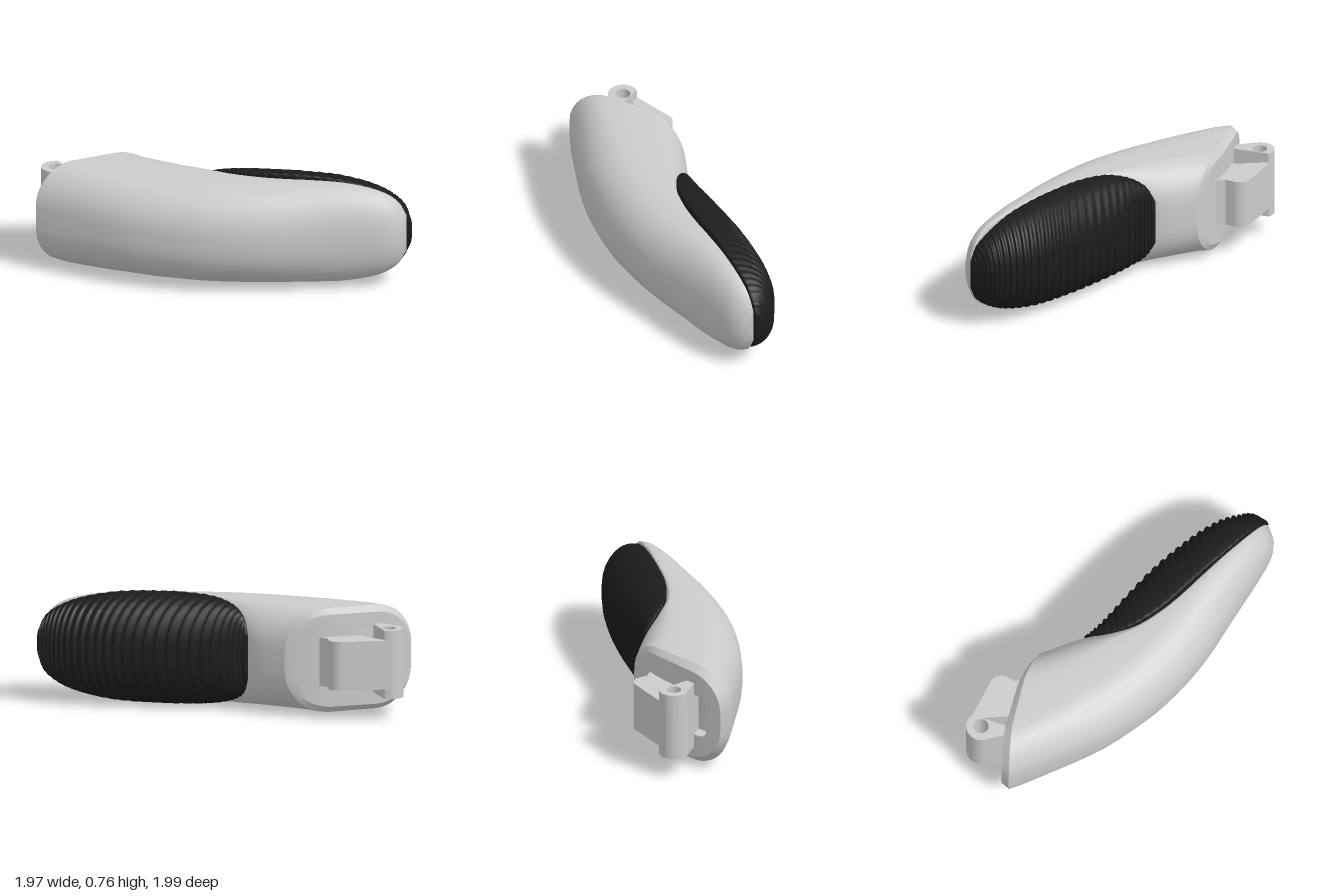
import * as THREE from 'three';
import { toCreasedNormals } from 'three/addons/utils/BufferGeometryUtils.js';

const MID = 0.385; // height of the symmetry plane

// Rounded cross-section standing on the plan line a -> b, half height h.
// fa, fb: corner size as a share of the width at each end; ra, rb: same for the height.
function section(a, b, h, fa, fb, ra, rb) {
  const d = b.clone().sub(a), pts = [], n = 8;
  const corners = [[1, 1, fb, rb], [-1, 1, fa, ra], [-1, -1, fa, ra], [1, -1, fb, rb]];
  corners.forEach(([sx, sy, f, r], q) => {
    for (let i = 0; i <= n; i++) {
      const t = (q + i / n) * Math.PI / 2;
      const u = (sx > 0 ? 1 - f : f) + f * Math.cos(t);
      const y = sy * h * (1 - r) + h * r * Math.sin(t);
      pts.push(new THREE.Vector3(a.x + d.x * u, MID + y, a.y + d.y * u));
    }
  });
  return pts;
}

// Skin over a list of rings; capStart / capEnd close the ends
function loft(rings, capStart, capEnd, crease) {
  const m = rings[0].length, pos = [], idx = [];
  rings.forEach(r => r.forEach(p => pos.push(p.x, p.y, p.z)));
  for (let i = 0; i < rings.length - 1; i++)
    for (let j = 0; j < m; j++) {
      const k = (j + 1) % m, a = i * m + j, b = i * m + k;
      idx.push(a, b, a + m, b, b + m, a + m);
    }
  const cap = (i, flip) => {
    const c = new THREE.Vector3();
    rings[i].forEach(p => c.addScaledVector(p, 1 / m));
    const id = pos.length / 3;
    pos.push(c.x, c.y, c.z);
    for (let j = 0; j < m; j++) {
      const a = i * m + j, b = i * m + (j + 1) % m;
      idx.push(id, flip ? b : a, flip ? a : b);
    }
  };
  if (capStart) cap(0, true);
  if (capEnd) cap(rings.length - 1, false);
  const g = new THREE.BufferGeometry();
  g.setAttribute('position', new THREE.Float32BufferAttribute(pos, 3));
  g.setIndex(idx);
  return toCreasedNormals(g, crease);
}

// Smooth interpolation through stations [ax, az, bx, bz, h, fa, fb]
function stations(list) {
  const curve = f => new THREE.CatmullRomCurve3(list.map(f), false, 'catmullrom', 0.5);
  const A = curve(s => new THREE.Vector3(s[0], s[4], s[1]));
  const B = curve(s => new THREE.Vector3(s[2], 0, s[3]));
  const F = curve(s => new THREE.Vector3(s[5], s[6], 0));
  return t => {
    const a = A.getPoint(t), b = B.getPoint(t), f = F.getPoint(t);
    return { a: new THREE.Vector2(a.x, a.z), b: new THREE.Vector2(b.x, b.z), h: a.y, fa: f.x, fb: f.y };
  };
}

// Bowed back end: edge of the rim and face of the plate
const share = x => THREE.MathUtils.clamp((x + 0.99) / 0.89, 0, 1);
const rimZ = x => -0.70 + 0.19 * share(x) ** 2.5;
const plateZ = x => -0.75 + 0.235 * share(x) ** 2.5;
const bend = (ring, f) => ring.map(p => new THREE.Vector3(p.x, p.y, f(p.x)));

const bodyAt = stations([
  [-0.99, -0.69, -0.10, -0.51, 0.355, 0.31, 0.31],
  [-0.85, -0.40, -0.02, -0.33, 0.355, 0.36, 0.30],
  [-0.74, -0.18, 0.01, -0.20, 0.355, 0.44, 0.25],
  [-0.63, 0.00, 0.01, -0.08, 0.355, 0.52, 0.15],
  [-0.42, 0.26, 0.05, 0.10, 0.355, 0.64, 0.06],
  [-0.20, 0.46, 0.16, 0.26, 0.355, 0.74, 0.05],
  [0.00, 0.60, 0.28, 0.39, 0.355, 0.80, 0.05],
  [0.20, 0.71, 0.43, 0.53, 0.355, 0.84, 0.05],
  [0.40, 0.82, 0.59, 0.68, 0.345, 0.86, 0.05],
  [0.60, 0.93, 0.75, 0.83, 0.30, 0.88, 0.05],
  [0.72, 0.985, 0.84, 0.91, 0.23, 0.88, 0.05],
  [0.80, 0.995, 0.885, 0.95, 0.13, 0.88, 0.05],
]);

const padAt = stations([
  [0.015, -0.24, 0.04, -0.24, 0.15, 0.04, 0.85],
  [0.00, -0.17, 0.09, -0.18, 0.26, 0.04, 0.88],
  [0.00, -0.05, 0.20, -0.09, 0.325, 0.04, 0.90],
  [0.05, 0.10, 0.37, 0.04, 0.365, 0.04, 0.92],
  [0.17, 0.27, 0.55, 0.19, 0.38, 0.04, 0.92],
  [0.32, 0.42, 0.70, 0.34, 0.38, 0.04, 0.92],
  [0.48, 0.57, 0.82, 0.48, 0.37, 0.04, 0.92],
  [0.64, 0.72, 0.915, 0.62, 0.335, 0.04, 0.92],
  [0.77, 0.83, 0.96, 0.74, 0.28, 0.04, 0.90],
  [0.86, 0.92, 0.98, 0.83, 0.20, 0.04, 0.88],
  [0.90, 0.955, 0.945, 0.93, 0.10, 0.04, 0.85],
]);

function bodyGeometry() {
  const rings = [], n = 50;
  for (let i = 0; i <= n; i++) {
    const s = bodyAt(i / n);
    const ring = section(s.a, s.b, s.h, s.fa, s.fb, 0.79 + 0.12 * Math.min(1, 2 * i / n), 0.79 * Math.min(1, s.fb / 0.31));
    rings.push(i === 0 ? bend(ring, rimZ) : ring);
  }
  return loft(rings, false, true, 0.8);
}

// Chamfered back plate with a pocket, from the pocket floor out to the rim
function plateGeometry() {
  const V = (x, z) => new THREE.Vector2(x, z);
  const pocket = section(V(-0.84, 0), V(-0.56, 0), 0.145, 0.2, 0.2, 0.35, 0.35);
  const face = section(V(-0.955, 0), V(-0.115, 0), 0.315, 0.31, 0.31, 0.79, 0.79);
  const s = bodyAt(0);
  const rings = [bend(pocket, x => plateZ(x) + 0.09)];
  for (let i = 0; i <= 8; i++)
    rings.push(bend(pocket.map((p, j) => p.clone().lerp(face[j], i / 8)), plateZ));
  rings.push(bend(section(s.a, s.b, s.h, 0.31, 0.31, 0.79, 0.79), rimZ));
  return loft(rings, true, false, 0.4);
}

// Soft grip with ridges running across it
function padGeometry() {
  const rings = [], teeth = 30, n = teeth * 4;
  for (let i = 0; i <= n; i++) {
    const s = padAt(i / n), groove = i % 4 > 1 && i > 3 && i < n - 2 ? 1 : 0;
    const d = s.b.clone().sub(s.a).normalize();
    s.b.addScaledVector(d, -0.016 * groove);
    rings.push(section(s.a, s.b, s.h - 0.004 * groove, s.fa, s.fb, 0.05, 0.88));
  }
  return loft(rings, true, true, 0.5);
}

// Plan outline (x, -z) raised from y0 to y1
function raised(shape, y0, y1) {
  const g = new THREE.ExtrudeGeometry(shape, { depth: y1 - y0, bevelEnabled: false, curveSegments: 24 });
  g.rotateX(-Math.PI / 2).translate(0, y0, 0);
  return toCreasedNormals(g, 0.5);
}

export function createModel() {
  const group = new THREE.Group();
  const grey = new THREE.MeshStandardMaterial({ color: 0xcccccc });
  const black = new THREE.MeshStandardMaterial({ color: 0x1c1c1c });
  const add = (name, geometry, material = grey) => {
    const mesh = new THREE.Mesh(geometry, material);
    mesh.name = name;
    group.add(mesh);
  };

  add('handleBody', bodyGeometry());
  add('backPlate', plateGeometry());
  add('ridgedGrip', padGeometry(), black);

  // Tall hinge barrel with a pin hole
  const barrel = new THREE.Shape();
  barrel.moveTo(-0.445, 0.62);
  barrel.absarc(-0.68, 0.9, 0.1, 0.7, 3.5, false);
  barrel.lineTo(-0.70, 0.62);
  barrel.closePath();
  const hole = new THREE.Path();
  hole.absarc(-0.68, 0.9, 0.05, 0, Math.PI * 2, true);
  barrel.holes.push(hole);
  add('hingeBarrel', raised(barrel, 0.15, 0.617));

  // Lower stop block beside the barrel
  const block = new THREE.Shape();
  block.moveTo(-0.56, 0.6);
  block.lineTo(-0.28, 0.56);
  block.lineTo(-0.325, 0.69);
  block.absarc(-0.37, 0.78, 0.08, -0.5, 1.15, false);
  block.lineTo(-0.638, 0.99);
  block.lineTo(-0.6, 0.9);
  block.closePath();
  add('hingeBlock', raised(block, 0.217, 0.55));

  return group;
}
